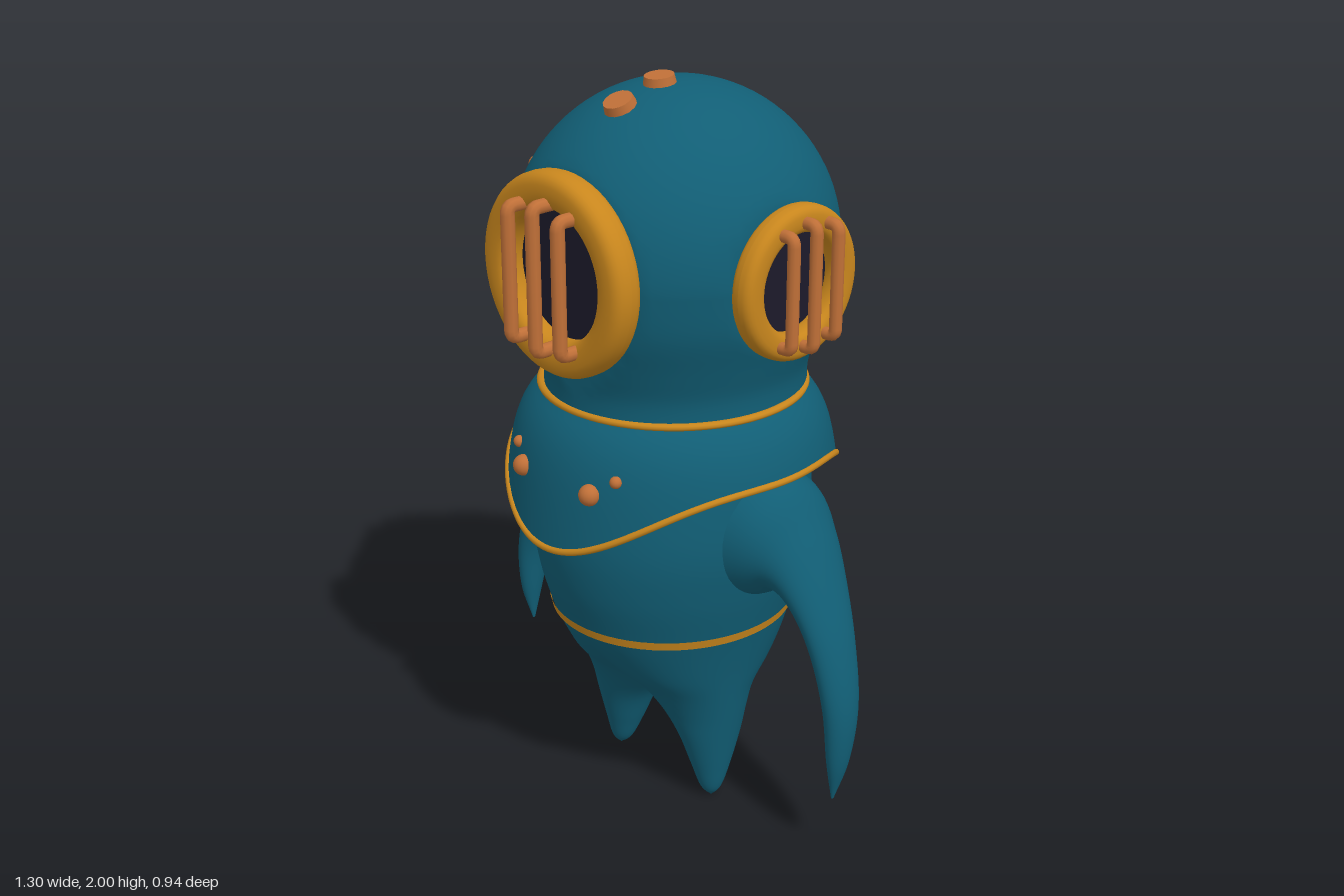
import * as THREE from 'three';
import { mergeVertices } from 'three/addons/utils/BufferGeometryUtils.js';

const paint = (color) => new THREE.MeshStandardMaterial({ color, side: THREE.DoubleSide });
const suit = paint(0x115e75);
const brass = paint(0xc8861d);
const copper = paint(0xc07038);
const glass = paint(0x1c1a2a);
const CZ = -0.015; // depth of the body axis

function add(parent, name, geometry, material, x = 0, y = 0, z = 0) {
  const mesh = new THREE.Mesh(geometry, material);
  mesh.name = name;
  mesh.position.set(x, y, z);
  parent.add(mesh);
  return mesh;
}

// Smooth skin over elliptical sections, rows: [innerX, innerY, outerX, outerY, centreZ, halfDepth]
function loft(rows, side = 1, steps = 40, seg = 40) {
  const curve = (f) => new THREE.CatmullRomCurve3(rows.map(f), false, 'catmullrom', 0.5);
  const inner = curve((r) => new THREE.Vector3(r[0], r[1], r[4]));
  const outer = curve((r) => new THREE.Vector3(r[2], r[3], r[5]));
  const pos = [], index = [];
  for (let i = 0; i <= steps; i++) {
    const a = inner.getPoint(i / steps), b = outer.getPoint(i / steps);
    for (let j = 0; j < seg; j++) {
      const t = (j / seg) * Math.PI * 2, k = (1 + Math.cos(t)) / 2;
      pos.push(side * (a.x + (b.x - a.x) * k), a.y + (b.y - a.y) * k, a.z + b.z * Math.sin(t));
      if (i === steps) continue;
      const p = i * seg + j, q = i * seg + ((j + 1) % seg), r = p + seg, s = q + seg;
      if (side > 0) index.push(p, q, r, q, s, r);
      else index.push(p, r, q, q, r, s);
    }
  }
  const g = new THREE.BufferGeometry();
  g.setAttribute('position', new THREE.Float32BufferAttribute(pos, 3));
  g.setIndex(index);
  g.computeVertexNormals();
  return g;
}

// Move every vertex by a rule, weld the seam and smooth the result
function reshape(g, rule) {
  const p = g.attributes.position, v = new THREE.Vector3();
  for (let i = 0; i < p.count; i++) {
    rule(v.fromBufferAttribute(p, i));
    p.setXYZ(i, v.x, v.y, v.z);
  }
  g.deleteAttribute('uv');
  g.deleteAttribute('normal');
  const welded = mergeVertices(g, 1e-5);
  welded.computeVertexNormals();
  return welded;
}

// Round window facing +z: rounded ring, dark pane and three guard bars
function porthole(name, R, r, half, barGap, barHeight, barOut, barRadius) {
  const port = new THREE.Group();
  port.name = name;
  const soft = (v) => Math.sign(v) * Math.pow(Math.abs(v), 0.75);
  const profile = [];
  for (let i = 0; i <= 24; i++) {
    const t = (i / 24) * Math.PI * 2;
    profile.push(new THREE.Vector2((R + r) / 2 + ((R - r) / 2) * soft(Math.cos(t)), half * soft(Math.sin(t))));
  }
  add(port, 'windowRing', new THREE.LatheGeometry(profile, 56).rotateX(Math.PI / 2), brass);
  add(port, 'windowPane', new THREE.CircleGeometry((R + r) / 2, 40), glass, 0, 0, -0.02);
  for (const k of [-1, 0, 1]) {
    const h = barHeight - Math.abs(k) * 0.015, c = 0.02;
    const V = (y, z) => new THREE.Vector3(k * barGap, y, z);
    const path = new THREE.CurvePath();
    path.add(new THREE.LineCurve3(V(-h, 0), V(-h, barOut - c)));
    path.add(new THREE.QuadraticBezierCurve3(V(-h, barOut - c), V(-h, barOut), V(-h + c, barOut)));
    path.add(new THREE.LineCurve3(V(-h + c, barOut), V(h - c, barOut)));
    path.add(new THREE.QuadraticBezierCurve3(V(h - c, barOut), V(h, barOut), V(h, barOut - c)));
    path.add(new THREE.LineCurve3(V(h, barOut - c), V(h, 0)));
    add(port, 'guardBar', new THREE.TubeGeometry(path, 60, barRadius, 10), copper);
  }
  return port;
}

function buildHelmet() {
  const helmet = new THREE.Group();
  helmet.name = 'helmet';
  helmet.position.x = 0.007;

  // Globe on a short neck, flattened where the windows sit
  const neck = [[0.335, 1.18], [0.337, 1.25], [0.36, 1.33], [0.395, 1.44]].map((p) => new THREE.Vector2(...p));
  const dome = [];
  for (let i = 0; i <= 24; i++) {
    const t = (i / 24) * Math.PI / 2;
    dome.push(new THREE.Vector2(0.41 * Math.cos(t), 1.56 + 0.42 * Math.sin(t)));
  }
  const profile = [...new THREE.SplineCurve([...neck, dome[0]]).getPoints(20), ...dome.slice(1)];
  add(helmet, 'helmetGlobe', reshape(new THREE.LatheGeometry(profile, 72), (v) => {
    v.z = Math.min(v.z * 1.045 - 0.02, 0.33);
    v.x = THREE.MathUtils.clamp(v.x, -0.372, 0.372);
  }), suit);

  const front = porthole('frontWindow', 0.258, 0.165, 0.045, 0.092, 0.182, 0.083, 0.018);
  front.position.set(0, 1.56, 0.365);
  helmet.add(front);
  for (const s of [1, -1]) {
    const port = porthole(s > 0 ? 'leftWindow' : 'rightWindow', 0.195, 0.125, 0.034, 0.077, 0.155, 0.067, 0.016);
    port.position.set(s * 0.4075, 1.55, -0.027);
    port.rotation.y = s * Math.PI / 2;
    helmet.add(port);
  }

  // Bolts on the crown
  for (const [y, z, tilt] of [[1.974, 0.035, 0.12], [1.937, 0.165, 0.435]]) {
    const bolt = add(helmet, 'crownBolt', new THREE.CylinderGeometry(0.038, 0.046, 0.042, 14), copper, 0, y, z);
    bolt.rotation.x = tilt;
  }
  return helmet;
}

function buildCollar() {
  const collar = new THREE.Group();
  collar.name = 'collar';
  collar.position.z = CZ;

  // Cape flares from the neck and dips to a point at front and back
  const radius = (y) => 0.345 + 0.075 * (1 - Math.exp(-(1.19 - y) / 0.07)) + 0.08 * (1.19 - y);
  const hem = (a) => 1.035 - 0.19 * Math.pow(Math.abs(Math.cos(a)), 3.5);
  add(collar, 'collarCape', reshape(new THREE.CylinderGeometry(1, 1, 1, 72, 16, true), (v) => {
    const a = Math.atan2(v.x, v.z);
    v.y = THREE.MathUtils.lerp(hem(a), 1.19, v.y + 0.5);
    v.x = Math.sin(a) * radius(v.y);
    v.z = Math.cos(a) * radius(v.y);
  }), suit);

  const edge = [];
  for (let i = 0; i < 48; i++) {
    const a = (i / 48) * Math.PI * 2, y = hem(a), r = radius(y);
    edge.push(new THREE.Vector3(Math.sin(a) * r, y, Math.cos(a) * r));
  }
  add(collar, 'collarTrim', new THREE.TubeGeometry(new THREE.CatmullRomCurve3(edge, true), 144, 0.009, 8, true), brass);
  const ring = add(collar, 'neckRing', new THREE.TorusGeometry(0.344, 0.012, 10, 72).rotateX(Math.PI / 2), brass, 0.002, 1.192);
  ring.scale.y = 0.8;

  // Pairs of studs on the chest
  for (const [x, y, r] of [[-0.122, 1.022, 0.028], [0.13, 1.022, 0.028], [-0.17, 1.065, 0.016], [0.19, 1.065, 0.016]]) {
    add(collar, 'stud', new THREE.SphereGeometry(r, 16, 12), copper, x, y, Math.sqrt(radius(y) ** 2 - x * x));
  }
  return collar;
}

export function createModel() {
  const model = new THREE.Group();
  model.name = 'diver';
  model.add(buildHelmet(), buildCollar());

  // Torso: [y, half width, half depth]
  const torso = [[1.17, 0.31, 0.31], [1.05, 0.345, 0.355], [0.85, 0.365, 0.385], [0.7, 0.348, 0.373], [0.56, 0.318, 0.333]];
  add(model, 'torso', loft(torso.map(([y, w, d]) => [-w, y, w, y, CZ, d]), 1, 24, 64), suit);
  const belt = add(model, 'belt', new THREE.CylinderGeometry(0.326, 0.321, 0.024, 64, 1, true), brass, 0, 0.567, CZ);
  belt.scale.z = 1.048;

  // Legs share the belly and part into two points: [y, inner x, outer x, centre z, half depth]
  const legs = [[0.57, -0.32, 0.32, CZ, 0.335], [0.5, -0.26, 0.304, -0.018, 0.3], [0.42, -0.15, 0.286, -0.012, 0.235],
    [0.35, -0.06, 0.272, 0, 0.16], [0.28, 0.015, 0.26, 0, 0.12], [0.2, 0.08, 0.246, 0, 0.092],
    [0.1, 0.122, 0.228, 0.004, 0.058], [0.03, 0.152, 0.212, 0.01, 0.03], [0, 0.184, 0.188, 0.012, 0.003]];
  // Fins curve out and down: [inner x, inner y, outer x, outer y, centre z, half depth]
  const fin = [[0.22, 0.62, 0.22, 1.04, -0.03, 0.2], [0.345, 0.68, 0.385, 1.01, -0.045, 0.165],
    [0.405, 0.712, 0.475, 0.895, -0.055, 0.125], [0.465, 0.685, 0.55, 0.755, -0.05, 0.095],
    [0.525, 0.59, 0.612, 0.61, -0.04, 0.072], [0.572, 0.45, 0.65, 0.45, -0.03, 0.055],
    [0.592, 0.3, 0.645, 0.3, -0.02, 0.035], [0.606, 0.18, 0.612, 0.18, -0.015, 0.004]];
  for (const s of [1, -1]) {
    const side = s > 0 ? 'left' : 'right';
    add(model, side + 'Leg', loft(legs.map(([y, a, b, z, d]) => [a, y, b, y, z, d]), s, 48, 56), suit);
    // The right fin is a little shorter
    const lift = (y) => (s > 0 ? y : y + 0.1 * Math.max(0, 0.7 - y));
    const rows = fin.map(([a, ay, b, by, z, d]) => [a, lift(ay), b, lift(by), z, d]);
    add(model, side + 'Fin', loft(rows, s), suit);
  }
  return model;
}
